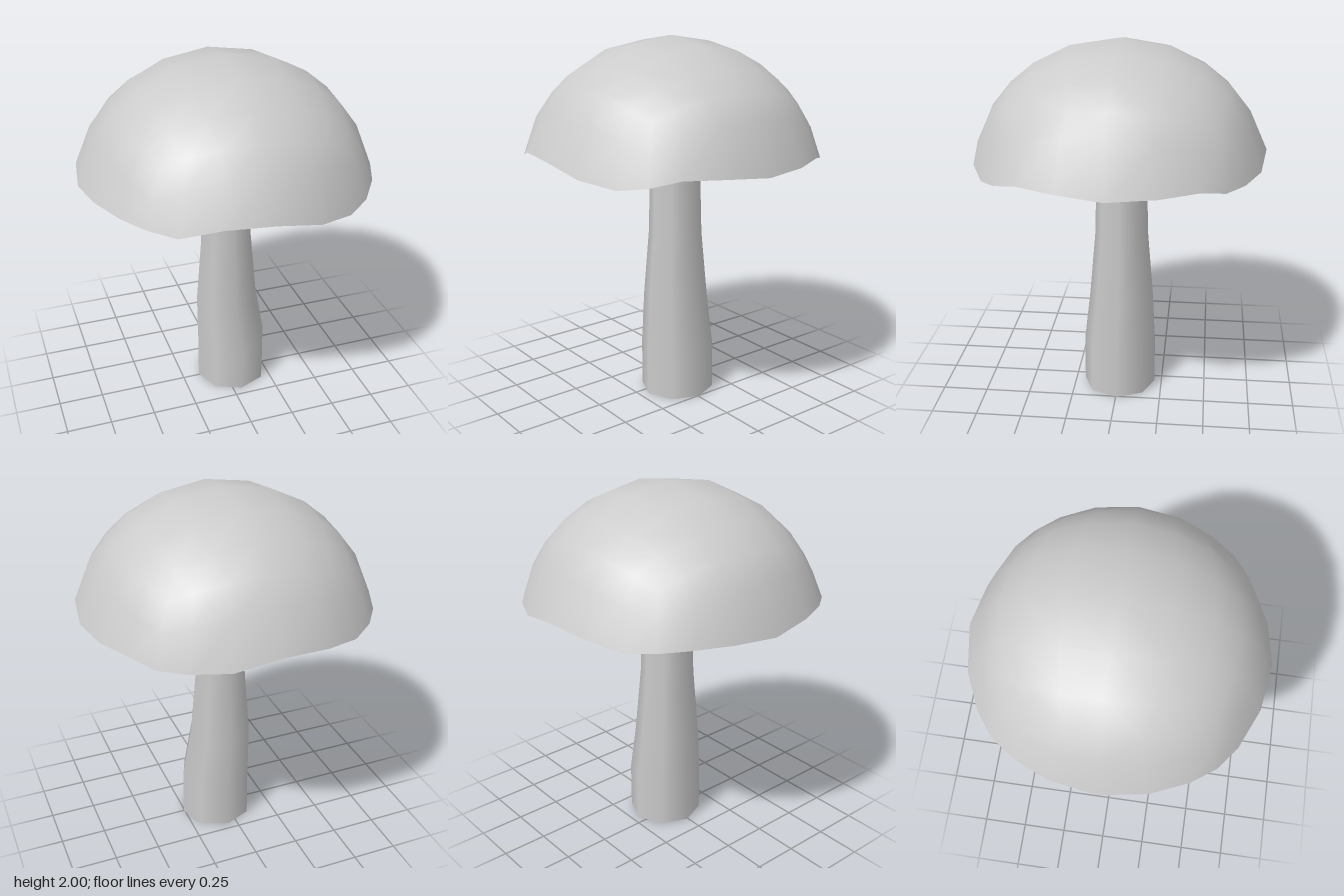
import * as THREE from 'three';
import { mergeVertices } from 'three/addons/utils/BufferGeometryUtils.js';

// Rim heights around the cap, from +z through +x, -z and -x
const RIM = [
  1.42, 1.365, 1.34, 1.36, 1.395, 1.39, 1.37, 1.38, 1.39, 1.36, 1.36, 1.37,
  1.42, 1.40, 1.37, 1.385, 1.395, 1.395, 1.38, 1.40, 1.395, 1.385, 1.365, 1.42,
];

// Stem cross-sections from the bottom up: y, centre x, centre z, radius
const STEM = [
  [0, 0.051, -0.005, 0.204],
  [0.26, 0.051, -0.005, 0.204],
  [0.55, 0.025, -0.012, 0.18],
  [0.92, 0.022, -0.012, 0.148],
  [1.65, 0.02, -0.01, 0.13],
];

// Open dome: the upper part of a subdivided box pushed out to a sphere
function capGeometry() {
  let geo = new THREE.BoxGeometry(2, 2, 2, 6, 6, 6);
  geo.deleteAttribute('uv');
  geo.deleteAttribute('normal');
  geo = mergeVertices(geo, 0.001);
  const pos = geo.attributes.position;
  const src = geo.index.array;
  const faces = [];
  for (let i = 0; i < src.length; i += 3) {
    const tri = [src[i], src[i + 1], src[i + 2]];
    if (tri.every((k) => pos.getY(k) > 0.3)) faces.push(...tri);
  }
  geo.setIndex(faces);

  const v = new THREE.Vector3();
  for (let i = 0; i < pos.count; i++) {
    v.fromBufferAttribute(pos, i);
    const onRim = Math.abs(v.y - 1 / 3) < 0.01;
    v.setLength(0.829);
    v.y += 1.171;
    if (onRim) {
      const step = Math.round(Math.atan2(v.x, v.z) / (Math.PI / 12));
      v.y = RIM[(step + 24) % 24];
    }
    pos.setXYZ(i, v.x, v.y, v.z);
  }
  // drop the unused lower vertices
  geo.computeVertexNormals();
  const compact = mergeVertices(geo.toNonIndexed());
  return compact;
}

// Eight-sided stem whose rings follow the cross-sections
function stemGeometry() {
  const rows = STEM.length - 1;
  const geo = new THREE.CylinderGeometry(1, 1, 1, 8, rows);
  const pos = geo.attributes.position;
  for (let i = 0; i < pos.count; i++) {
    const [y, cx, cz, r] = STEM[Math.round((pos.getY(i) + 0.5) * rows)];
    pos.setXYZ(i, cx + pos.getX(i) * r, y, cz + pos.getZ(i) * r);
  }
  return geo;
}

export function createModel() {
  const group = new THREE.Group();
  group.name = 'mushroom';

  const cap = new THREE.Mesh(
    capGeometry(),
    new THREE.MeshStandardMaterial({ color: 0xcccccc, side: THREE.DoubleSide })
  );
  cap.name = 'cap';

  const stem = new THREE.Mesh(
    stemGeometry(),
    new THREE.MeshStandardMaterial({ color: 0xcccccc })
  );
  stem.name = 'stem';

  group.add(cap, stem);
  return group;
}
